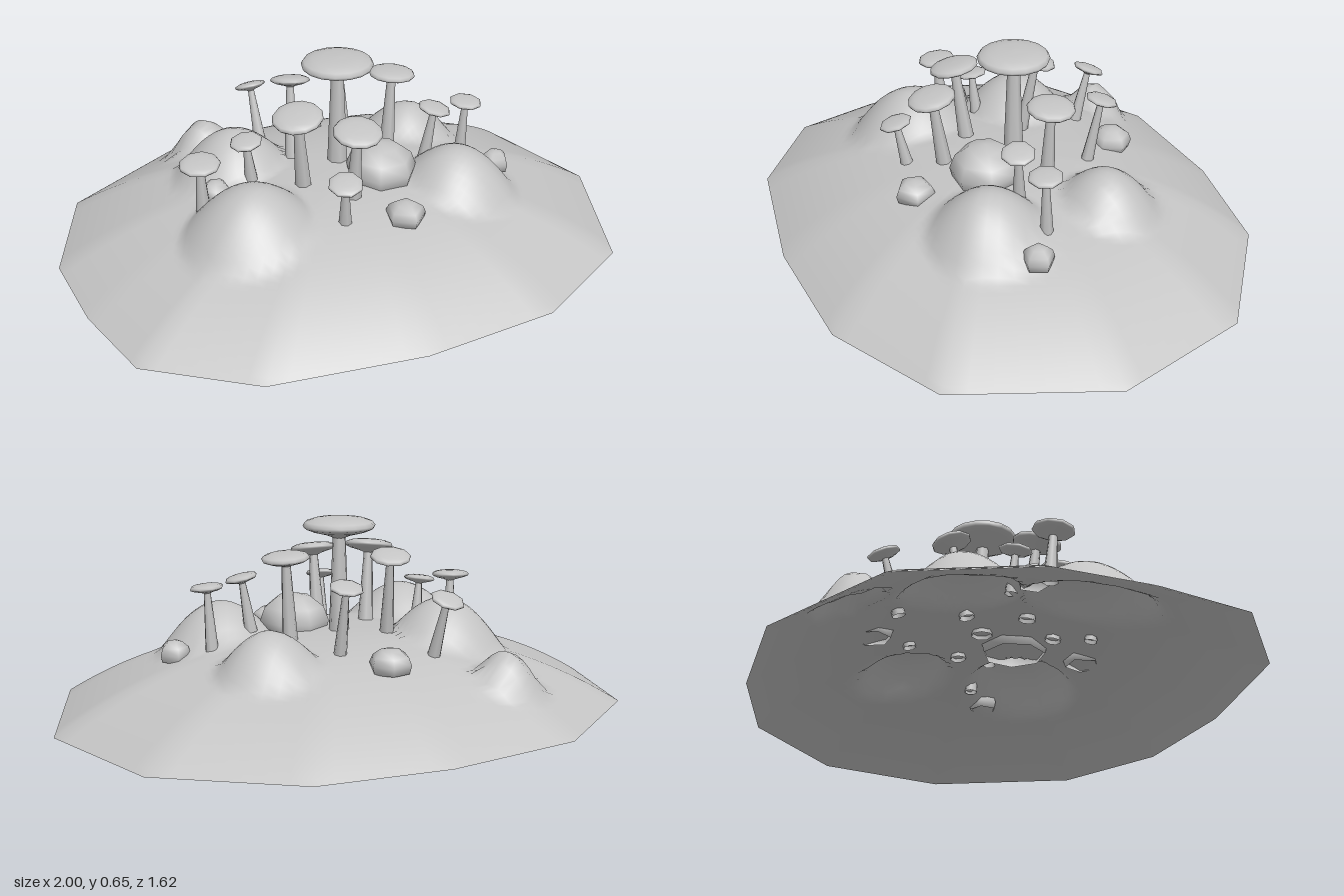
import * as THREE from 'three';

// Rim of the mound, as x, z corners
const RIM = [[0, -0.81], [0.43, -0.76], [0.84, -0.48], [1, -0.02], [0.83, 0.5], [0.46, 0.74], [0, 0.81],
  [-0.51, 0.78], [-0.85, 0.57], [-0.95, 0.27], [-1, -0.05], [-0.88, -0.47], [-0.47, -0.76]];

// Swellings in the ground: x, z, height, radius
const BUMPS = [[-0.41, 0.24, 0.13, 0.22], [0.38, 0.2, 0.125, 0.2], [-0.36, -0.17, 0.135, 0.2],
  [0.36, -0.25, 0.11, 0.17], [-0.39, -0.52, 0.105, 0.115]];

// Mushrooms: cap x, z, top y, cap radius, lean x, lean z, sides
const MUSHROOMS = [
  [0, -0.03, 0.65, 0.125, 0, 0, 16],
  [-0.19, 0.12, 0.54, 0.087, -0.025, 0.03, 12],
  [-0.03, 0.25, 0.52, 0.083, 0, 0.035, 12],
  [0.22, -0.08, 0.55, 0.082, 0.015, -0.005, 12],
  [-0.13, -0.16, 0.54, 0.07, 0.015, -0.05, 10],
  [-0.52, 0.09, 0.405, 0.07, -0.005, 0.012, 9],
  [-0.34, 0.01, 0.415, 0.057, -0.015, 0.01, 8],
  [0.32, 0.07, 0.46, 0.058, 0.025, 0.012, 8],
  [0.46, 0.03, 0.445, 0.058, 0.01, 0.01, 8],
  [-0.11, 0.36, 0.395, 0.058, -0.01, 0.03, 8],
  [-0.21, -0.4, 0.425, 0.058, -0.015, -0.055, 8],
  [0.11, -0.31, 0.475, 0.057, 0, -0.045, 8],
];

// Rocks: x, z, centre y, half width, half height, sides, turn
const ROCKS = [
  [0.11, 0.11, 0.27, 0.125, 0.1, 7, 0.3],
  [0.1, 0.36, 0.225, 0.07, 0.05, 5, 0.5],
  [0, -0.41, 0.22, 0.073, 0.055, 6, 0.2],
  [0.56, 0.09, 0.2, 0.055, 0.05, 5, 0.9],
  [-0.46, 0.04, 0.24, 0.055, 0.05, 5, 0.1],
];

function groundHeight(x, z, t = Math.hypot(x / 0.97, z / 0.8)) {
  let y = 0.255 * (1 - Math.pow(Math.min(t, 1), 2.4));
  for (const [bx, bz, h, r] of BUMPS) {
    const d = Math.hypot(x - bx, z - bz) / r;
    if (d < 1) y += h * Math.pow(1 - d * d, 1.15);
  }
  return y;
}

// Hollow mound: rings shrinking from the rim to the middle
function moundGeometry() {
  const rings = 40, split = 7, n = RIM.length * split;
  const pos = [0, groundHeight(0, 0, 0), 0], index = [];
  for (let i = 1; i <= rings; i++) {
    const t = i / rings;
    for (let j = 0; j < n; j++) {
      const a = RIM[Math.floor(j / split)], b = RIM[(Math.floor(j / split) + 1) % RIM.length];
      const f = (j % split) / split;
      const x = t * (a[0] + (b[0] - a[0]) * f), z = t * (a[1] + (b[1] - a[1]) * f);
      pos.push(x, groundHeight(x, z, t), z);
    }
  }
  for (let j = 0; j < n; j++) {
    const k = (j + 1) % n;
    index.push(0, 1 + k, 1 + j);
    for (let i = 0; i < rings - 1; i++) {
      const a = 1 + i * n + j, b = 1 + i * n + k;
      index.push(a, b, a + n, b, b + n, a + n);
    }
  }
  const g = new THREE.BufferGeometry();
  g.setAttribute('position', new THREE.Float32BufferAttribute(pos, 3));
  g.setIndex(index);
  g.computeVertexNormals();
  return g;
}

// Mushroom with a rounded flat cap on a tapering, leaning stem
const CAP_PROFILE = [[0.16, -0.58], [0.35, -0.5], [0.75, -0.4], [0.96, -0.31],
  [1, -0.23], [0.93, -0.13], [0.7, -0.05], [0.4, -0.01], [0, 0]];

function mushroom([x, z, top, r, leanX, leanZ, sides], material) {
  const group = new THREE.Group();
  group.name = 'mushroom';
  const up = new THREE.Vector3(0, 1, 0);
  const baseX = x - leanX, baseZ = z - leanZ;
  const base = new THREE.Vector3(baseX, groundHeight(baseX, baseZ) - 0.015, baseZ);
  const neck = new THREE.Vector3(x, top - 0.45 * r, z);
  const axis = neck.clone().sub(base);
  const length = axis.length();

  // The cap tips over a little further than the stem
  const cap = new THREE.Mesh(
    new THREE.LatheGeometry(CAP_PROFILE.map(([px, py]) => new THREE.Vector2(px * r, (py + 0.45) * r)), sides), material);
  cap.position.copy(neck);
  cap.quaternion.setFromUnitVectors(up, new THREE.Vector3(leanX * 1.5, axis.y, leanZ * 1.5).normalize());
  cap.name = 'cap';

  const stem = new THREE.Mesh(
    new THREE.CylinderGeometry(r * 0.16 + 0.002, r * 0.2 + 0.012, length, 7, 1, true), material);
  stem.position.copy(base).lerp(neck, 0.5);
  stem.quaternion.setFromUnitVectors(up, axis.normalize());
  stem.name = 'stem';
  group.add(cap, stem);
  return group;
}

export function createModel() {
  const stone = new THREE.MeshStandardMaterial({ color: 0xc4c4c4, side: THREE.DoubleSide });
  stone.name = 'pale grey';
  const model = new THREE.Group();
  model.name = 'mushroomMound';

  const mound = new THREE.Mesh(moundGeometry(), stone);
  mound.name = 'mound';
  model.add(mound);

  for (const m of MUSHROOMS) model.add(mushroom(m, stone));

  // Rocks are open below, where they sink into the ground
  for (const [x, z, y, r, h, sides, turn] of ROCKS) {
    const rock = new THREE.Mesh(new THREE.SphereGeometry(1, sides, 4, 0, Math.PI * 2, 0, Math.PI * 0.65), stone);
    rock.scale.set(r, h, r);
    rock.position.set(x, y, z);
    rock.rotation.y = turn;
    rock.name = 'rock';
    model.add(rock);
  }
  return model;
}
